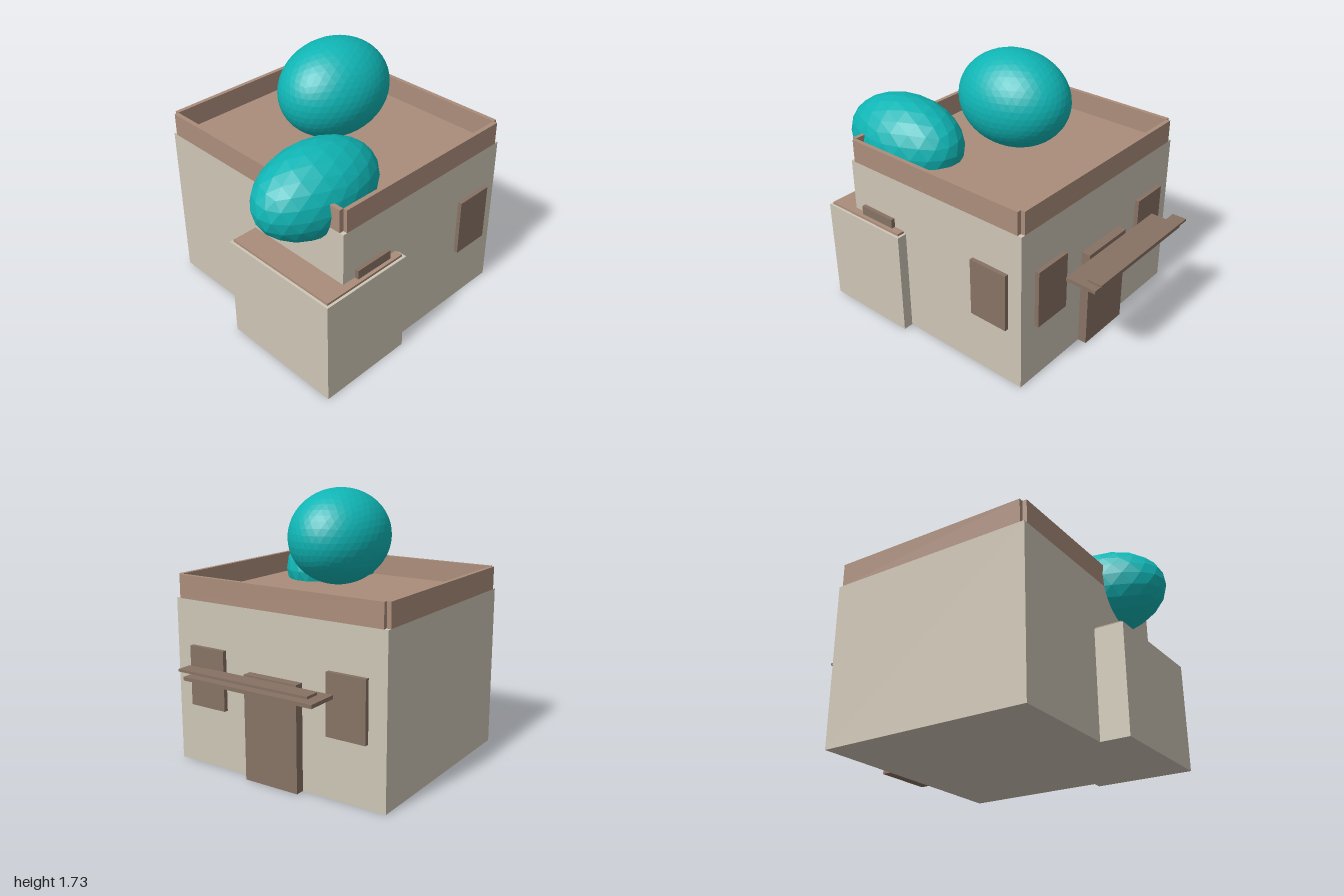
import * as THREE from 'three';

const paint = (color) => new THREE.MeshStandardMaterial({ color, flatShading: true });

export function createModel() {
  const house = new THREE.Group();
  house.name = 'house';
  const cream = paint(0xcec6b6), brown = paint(0xab8d7b), dark = paint(0x877264), teal = paint(0x10b5b5);

  // Box given by its [min, max] range on each axis
  const box = (name, material, [x0, x1], [y0, y1], [z0, z1]) => {
    const mesh = new THREE.Mesh(new THREE.BoxGeometry(x1 - x0, y1 - y0, z1 - z0), material);
    mesh.position.set((x0 + x1) / 2, (y0 + y1) / 2, (z0 + z1) / 2);
    mesh.name = name;
    house.add(mesh);
  };

  // Main block and its flat roof
  const L = -0.8, R = 0.73, B = -0.673, F = 0.705, T = 0.028;
  box('mainBlock', cream, [L, R], [0, 1.06], [B, F]);
  box('mainRoof', brown, [L + 0.04, R - 0.04], [1.06, 1.075], [B + 0.04, F - 0.04]);

  // Parapet: four separate panels that leave the corners open
  const rim = [1.06, 1.21];
  box('parapetFront', brown, [L + T, R - T], rim, [F - T, F]);
  box('parapetBack', brown, [L + T, R - T], rim, [B, B + T]);
  box('parapetRight', brown, [L, L + T], rim, [B + T, F - T]);
  box('parapetLeft', brown, [R - T, R], rim, [B + T, F - T]);

  // Low annex on the front corner
  box('annex', cream, [-0.04, 0.797], [0, 0.7], [0.25, 0.893]);
  box('annexRoof', brown, [-0.025, 0.78], [0.7, 0.715], [0.268, 0.876]);

  // Door, and windows on the back and left walls
  box('door', dark, [-0.23, 0.155], [0, 0.67], [-0.732, B]);
  const sill = [0.39, 0.775];
  for (const x of [[-0.68, -0.415], [0.34, 0.607]]) box('backWindow', dark, x, sill, [-0.702, B]);
  for (const z of [[-0.576, -0.31], [0.345, 0.612]]) box('sideWindow', dark, [R, 0.757], sill, z);

  // Two floating awning boards over the door
  box('awningLower', dark, [-0.5, 0.423], [0.645, 0.668], [-0.96, -0.753]);
  box('awningUpper', dark, [-0.5, 0.423], [0.71, 0.725], [-1, -0.905]);

  // Faceted ellipsoids, with one icosahedron vertex turned to the top
  const blob = (name, detail, centre, radii) => {
    const geometry = new THREE.IcosahedronGeometry(1, detail);
    geometry.rotateZ(-Math.atan(2 / (1 + Math.sqrt(5))));
    geometry.scale(...radii);
    geometry.computeVertexNormals();
    const mesh = new THREE.Mesh(geometry, teal);
    mesh.position.set(...centre);
    mesh.name = name;
    house.add(mesh);
  };
  blob('roofEllipsoid', 7, [-0.035, 1.427, 0.018], [0.305, 0.305, 0.38]);
  blob('frontEllipsoid', 3, [0.376, 1.137, 0.567], [0.28, 0.277, 0.433]);

  return house;
}
